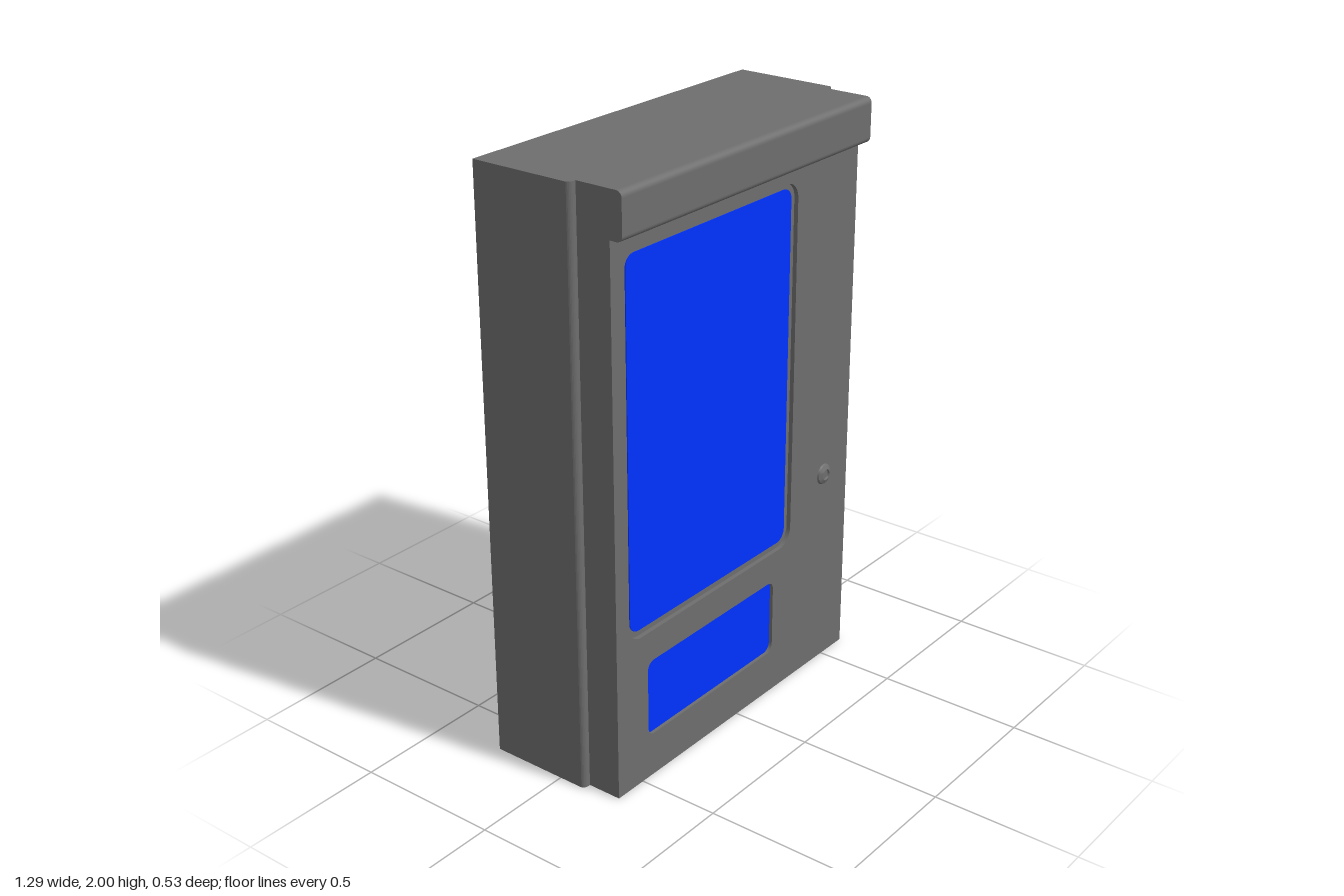
import * as THREE from 'three';
import { toCreasedNormals } from 'three/addons/utils/BufferGeometryUtils.js';

const grey = new THREE.MeshStandardMaterial({ color: 0x6e6e6e });
const blue = new THREE.MeshStandardMaterial({ color: 0x0031ff });

const H = 2, DOOR_X = 0.62, DOOR_H = 1.86, BODY_X = 0.647;
const BACK = -0.265, SEAM = 0.1, FRONT = 0.22;
const SHEET = 0.015; // thickness of the pierced front sheet

function add(parent, name, geometry, material = grey) {
  const mesh = new THREE.Mesh(geometry, material);
  mesh.name = name;
  parent.add(mesh);
  return mesh;
}

// Rectangle x0..x1, y0..y1 with rounded corners, as a closed shape
function roundedRect([x0, y0, x1, y1], r) {
  const s = new THREE.Shape();
  s.absarc(x1 - r, y0 + r, r, -Math.PI / 2, 0);
  s.absarc(x1 - r, y1 - r, r, 0, Math.PI / 2);
  s.absarc(x0 + r, y1 - r, r, Math.PI / 2, Math.PI);
  s.absarc(x0 + r, y0 + r, r, Math.PI, Math.PI * 1.5);
  s.closePath();
  return s;
}

function extrude(shape, depth, curveSegments) {
  return new THREE.ExtrudeGeometry(shape, { depth, bevelEnabled: false, curveSegments });
}

export function createModel() {
  const model = new THREE.Group();
  model.name = 'vendingMachine';

  // Cabinet: plan outline with rounded front corners, extruded upwards
  const r = 0.018;
  const plan = new THREE.Shape();
  plan.moveTo(-BODY_X, -BACK);
  plan.lineTo(-BODY_X, -SEAM + r);
  plan.absarc(-BODY_X + r, -SEAM + r, r, Math.PI, Math.PI * 1.5);
  plan.absarc(BODY_X - r, -SEAM + r, r, -Math.PI / 2, 0);
  plan.lineTo(BODY_X, -BACK);
  plan.closePath();
  add(model, 'cabinet', extrude(plan, H, 3).rotateX(-Math.PI / 2));

  // Door core, which is also the floor of the openings
  const door = new THREE.Group();
  door.name = 'door';
  model.add(door);
  const coreDepth = FRONT - SHEET - SEAM;
  add(door, 'doorCore', new THREE.BoxGeometry(DOOR_X * 2, DOOR_H, coreDepth))
    .position.set(0, DOOR_H / 2, SEAM + coreDepth / 2);

  // Front sheet with straight-walled openings for window and flap
  const windowRect = [-0.54, 0.55, 0.27, 1.78];
  const windowCut = [-0.56, 0.53, 0.29, 1.8];
  const flapRect = [-0.47, 0.153, 0.197, 0.423];
  const sheet = new THREE.Shape();
  sheet.moveTo(-DOOR_X, 0);
  sheet.lineTo(DOOR_X, 0);
  sheet.lineTo(DOOR_X, DOOR_H);
  sheet.lineTo(-DOOR_X, DOOR_H);
  sheet.closePath();
  sheet.holes.push(roundedRect(windowCut, 0.06), roundedRect(flapRect, 0.03));
  add(door, 'doorFront', extrude(sheet, SHEET, 8)).position.z = FRONT - SHEET;

  // Coloured panels lying in the openings
  const thin = 0.003;
  add(door, 'displayWindow', extrude(roundedRect(windowRect, 0.04), thin, 8), blue).position.z = FRONT - SHEET;
  add(door, 'deliveryFlap', extrude(roundedRect(flapRect, 0.03), thin, 8), blue).position.z = FRONT - SHEET;

  // Header: side profile with rounded front edges, extruded across the width
  const top = 0.265, low = 1.85, hr = 0.02;
  const profile = new THREE.Shape();
  profile.moveTo(-SEAM, low);
  profile.lineTo(-SEAM, H);
  profile.absarc(-top + hr, H - hr, hr, Math.PI / 2, Math.PI);
  profile.absarc(-top + hr, low + hr, hr, Math.PI, Math.PI * 1.5);
  profile.closePath();
  const header = extrude(profile, DOOR_X * 2, 6).rotateY(Math.PI / 2);
  add(model, 'header', header).position.x = -DOOR_X;

  // Lock: low tapered ring with a sunken disc
  const lockProfile = [[0.037, 0], [0.034, 0.006], [0.02, 0.013], [0.018, 0.013], [0.016, 0.007], [0, 0.007]]
    .map(([x, y]) => new THREE.Vector2(x, y));
  const lock = new THREE.LatheGeometry(lockProfile, 24).rotateX(Math.PI / 2);
  add(model, 'lock', toCreasedNormals(lock, 0.4)).position.set(0.48, 0.715, FRONT);

  return model;
}
